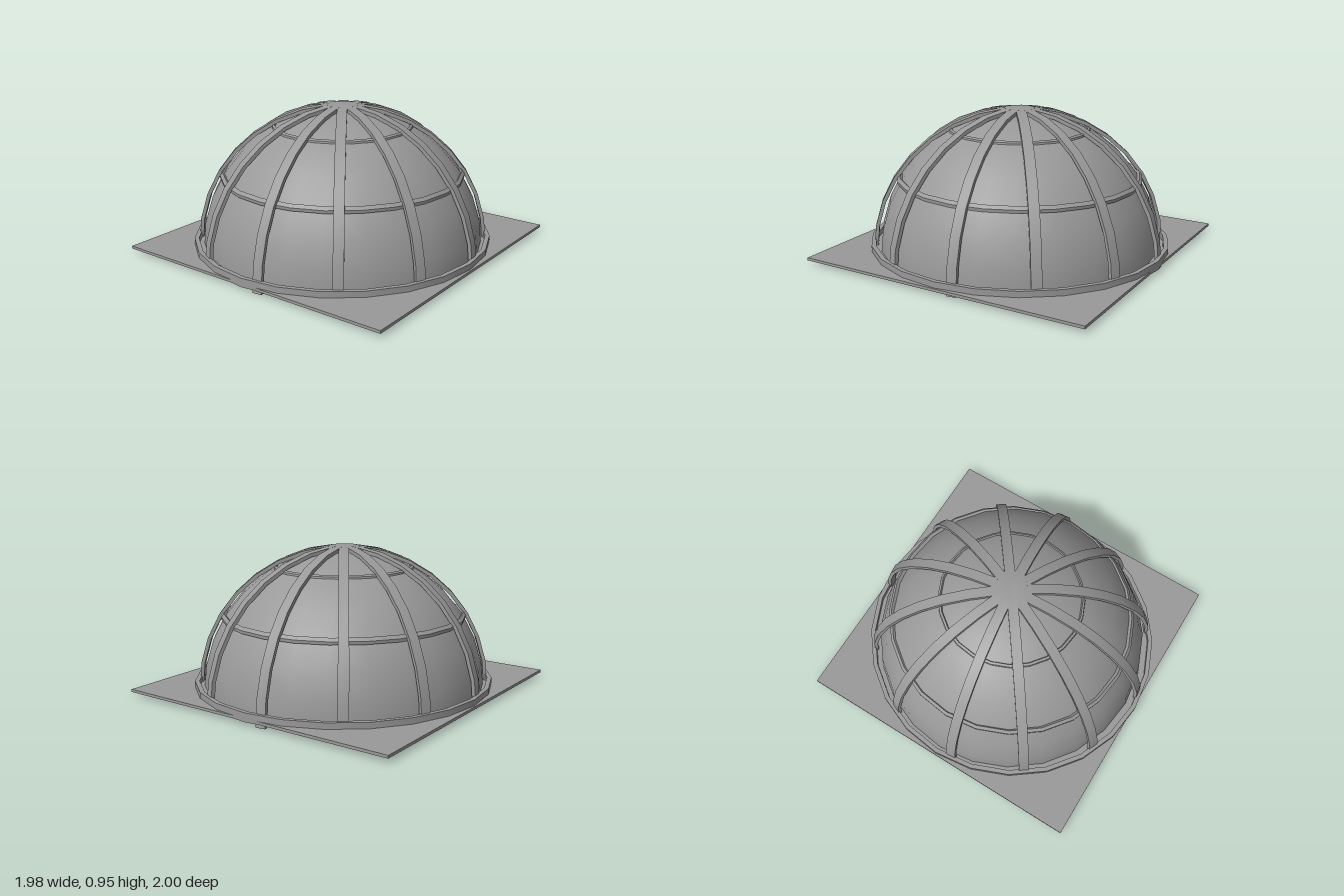
import * as THREE from 'three';
import { toCreasedNormals } from 'three/addons/utils/BufferGeometryUtils.js';

export function createModel() {
  const model = new THREE.Group();
  model.name = 'ribbedDome';
  const grey = new THREE.MeshStandardMaterial({ color: 0x999999, side: THREE.DoubleSide });
  const narrow = 0.978; // frame is slightly narrower across than front to back

  function add(name, geometry) {
    const mesh = new THREE.Mesh(geometry, grey);
    mesh.name = name;
    model.add(mesh);
    return mesh;
  }

  // Square ground plate
  add('basePlate', new THREE.BoxGeometry(1.976, 0.018, 1.976)).position.y = 0.035;

  // Round shell, running down through the plate
  add('domeShell', new THREE.SphereGeometry(0.93, 24, 8, 0, Math.PI * 2, 0, Math.PI / 2))
    .position.y = 0.003;

  // Closed [radius, height] sections turned into hoops
  function hoop(name, section) {
    const points = [...section, section[0]].map(([r, y]) => new THREE.Vector2(r, y));
    add(name, toCreasedNormals(new THREE.LatheGeometry(points, 24).scale(narrow, 1, 1), 0.5));
  }
  hoop('baseRing', [[0.97, 0.026], [1, 0.026], [1, 0.083], [0.97, 0.083]]);
  hoop('middleRing', [[0.775, 0.485], [0.813, 0.485], [0.815, 0.505], [0.797, 0.525], [0.773, 0.505]]);
  hoop('upperRing', [[0.44, 0.808], [0.466, 0.808], [0.464, 0.82], [0.45, 0.829], [0.442, 0.815]]);

  // Six arches crossing at the top make twelve ribs; an odd count leaves a flat crown
  const width = 0.066, steps = 17;
  function arc(rx, ry) {
    return Array.from({ length: steps + 1 }, (_, i) => {
      const a = Math.PI * i / steps;
      return new THREE.Vector2(rx * Math.cos(a), ry * Math.sin(a));
    });
  }
  const profile = new THREE.Shape([...arc(0.979, 0.957), ...arc(0.955, 0.933).reverse()]);
  const arch = toCreasedNormals(
    new THREE.ExtrudeGeometry(profile, { depth: width, bevelEnabled: false })
      .translate(0, 0, -width / 2), 0.5);
  for (let i = 0; i < 6; i++) {
    const turn = THREE.MathUtils.degToRad(6 + 30 * i);
    add('ribArch', arch.clone().rotateY(turn).scale(narrow, 1, 1));
  }

  return model;
}
